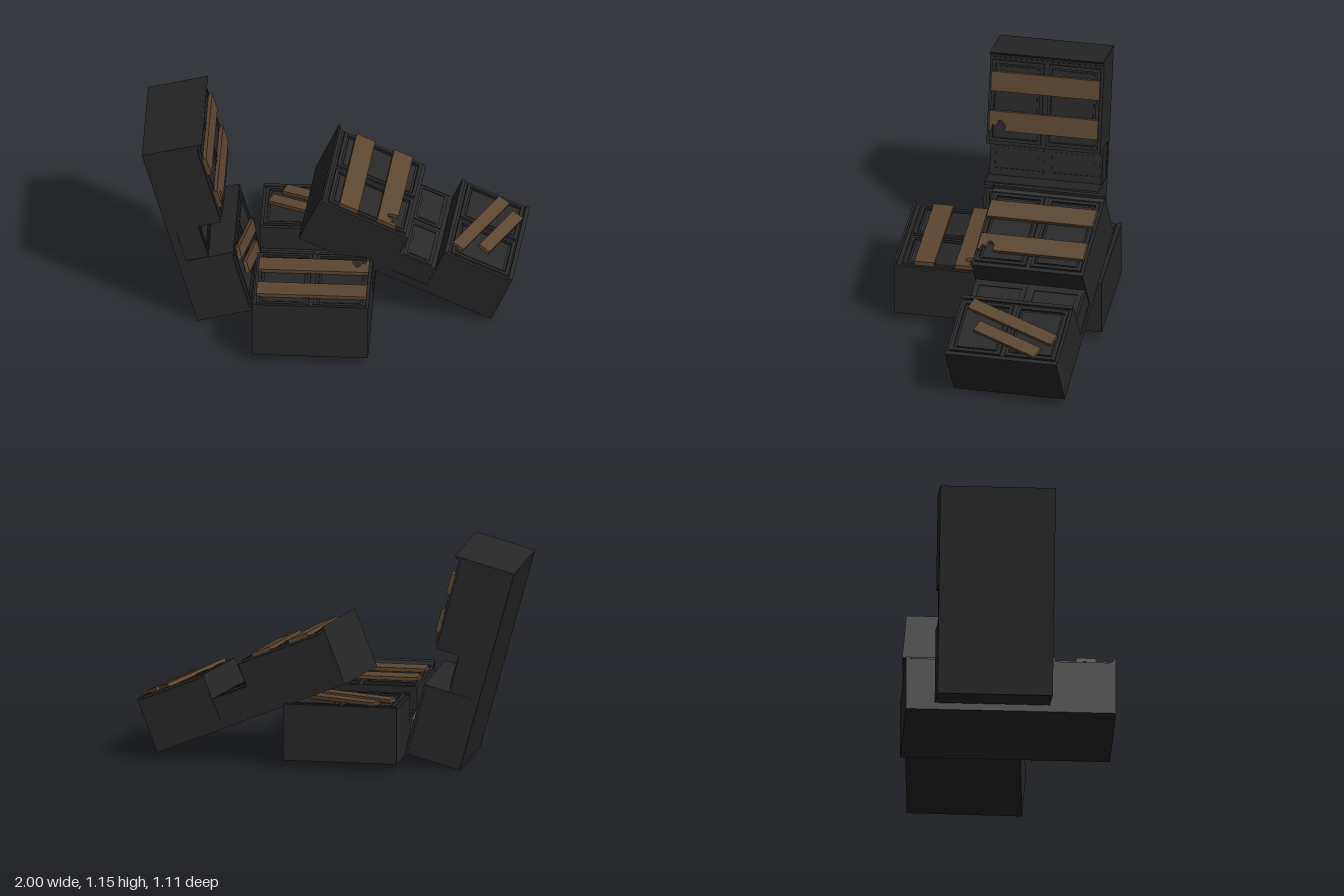
import * as THREE from 'three';

const dark = new THREE.MeshStandardMaterial({ color: 0x262626 });
dark.name = 'dark wood';
const brown = new THREE.MeshStandardMaterial({ color: 0x5b4530 });
brown.name = 'brown plank';

const HALF = 0.302; // half of the cabinet width

function add(parent, name, geometry, material = dark) {
  const mesh = new THREE.Mesh(geometry, material);
  mesh.name = name;
  parent.add(mesh);
  return mesh;
}

// box given by its ranges: half width, height range, depth range
function block(parent, name, half, y0, y1, z0, z1) {
  const mesh = add(parent, name, new THREE.BoxGeometry(half * 2, y1 - y0, z1 - z0));
  mesh.position.set(0, (y0 + y1) / 2, (z0 + z1) / 2);
  return mesh;
}

function polygon(points) {
  return new THREE.Shape(points.map(([x, y]) => new THREE.Vector2(x, y)));
}

function extrude(shape, depth) {
  return new THREE.ExtrudeGeometry(shape, { depth, bevelEnabled: false });
}

// door with a raised frame and a raised centre field
function door(parent, name, x0, x1, y0, y1, z, depth) {
  const group = new THREE.Group();
  group.name = name;
  const rect = (d) => [[x0 + d, y0 + d], [x1 - d, y0 + d], [x1 - d, y1 - d], [x0 + d, y1 - d]];
  const frame = polygon(rect(0));
  frame.holes.push(polygon(rect(0.018).reverse()));
  add(group, 'doorFrame', extrude(frame, depth)).position.z = z;
  add(group, 'doorField', extrude(polygon(rect(0.03)), depth * 0.5)).position.z = z;
  parent.add(group);
}

function plank(parent, name, shape, x, y, angle) {
  const mesh = add(parent, name, extrude(shape, 0.02), brown);
  mesh.position.set(x, y, 0.3);
  mesh.rotation.z = angle;
}

function plainPlank(length, width) {
  const a = length / 2, b = width / 2;
  return polygon([[-a, -b], [a, -b], [a, b], [-a, b]]);
}

// cabinet standing at its back bottom edge, front towards +z
function makeCabinet(name) {
  const g = new THREE.Group();
  g.name = name;
  block(g, 'backPanel', HALF, 0, 1.1, 0, 0.045);
  block(g, 'lowerBody', HALF, 0, 0.387, 0.04, 0.29);
  block(g, 'middleBody', HALF - 0.004, 0.38, 0.6, 0.04, 0.165);
  block(g, 'upperBody', HALF, 0.59, 1.1, 0.04, 0.29);
  block(g, 'plinth', HALF, 0, 0.022, 0.28, 0.301);
  block(g, 'counterEdge', HALF, 0.367, 0.387, 0.28, 0.301);

  // cornice profile, swept across the width
  const profile = polygon([[0.28, 1.06], [0.293, 1.068], [0.3, 1.085], [0.318, 1.09], [0.325, 1.1], [0.28, 1.1]]);
  const cornice = add(g, 'cornice', extrude(profile, HALF * 2));
  cornice.rotation.y = -Math.PI / 2;
  cornice.position.x = HALF;

  // pairs of doors and recess panels
  for (const [side, x0, x1] of [['left', 0.013, 0.287], ['right', -0.287, -0.013]]) {
    door(g, side + 'UpperDoor', x0, x1, 0.612, 1.055, 0.289, 0.015);
    door(g, side + 'LowerDoor', x0, x1, 0.03, 0.352, 0.289, 0.015);
    door(g, side + 'RecessPanel', x0, x1, 0.41, 0.57, 0.164, 0.006);
  }

  // boards nailed over the doors, one of them chipped
  const chipped = polygon([
    [-0.288, -0.053], [-0.275, -0.053], [-0.268, -0.02], [-0.25, -0.03], [-0.238, 0.002],
    [-0.222, 0.006], [-0.205, -0.015], [-0.2, -0.053], [0.288, -0.053], [0.288, 0.053], [-0.288, 0.053],
  ]);
  plank(g, 'topPlank', plainPlank(0.576, 0.106), 0, 0.943, 0);
  plank(g, 'chippedPlank', chipped, 0, 0.728, 0);
  plank(g, 'longSlantedPlank', plainPlank(0.525, 0.066), 0.01, 0.237, -0.353);
  plank(g, 'shortSlantedPlank', plainPlank(0.383, 0.066), 0.008, 0.123, -0.353);
  return g;
}

// place a cabinet by its across, up and front directions
function place(cabinet, origin, across, up, front) {
  const axes = [across, up, front].map((v) => new THREE.Vector3(...v).normalize());
  cabinet.quaternion.setFromRotationMatrix(new THREE.Matrix4().makeBasis(...axes));
  cabinet.position.set(...origin);
  return cabinet;
}

export function createModel() {
  const model = new THREE.Group();
  model.name = 'fallenCabinets';
  model.add(
    place(makeCabinet('leaningCabinet'), [-0.71, 0, -0.095], [0, 0, -1], [-0.264, 0.965, 0], [0.965, 0.264, 0]),
    place(makeCabinet('lyingCabinet'), [-0.1, 0.05, -0.545], [-1, 0, 0], [0, 0, 1], [0, 1, 0]),
    place(makeCabinet('toppledCabinet'), [0.853, 0.031, -0.172],
      [0.099, 0.053, -0.994], [-0.92, 0.385, -0.071], [0.379, 0.921, 0.087]),
  );
  return model;
}
